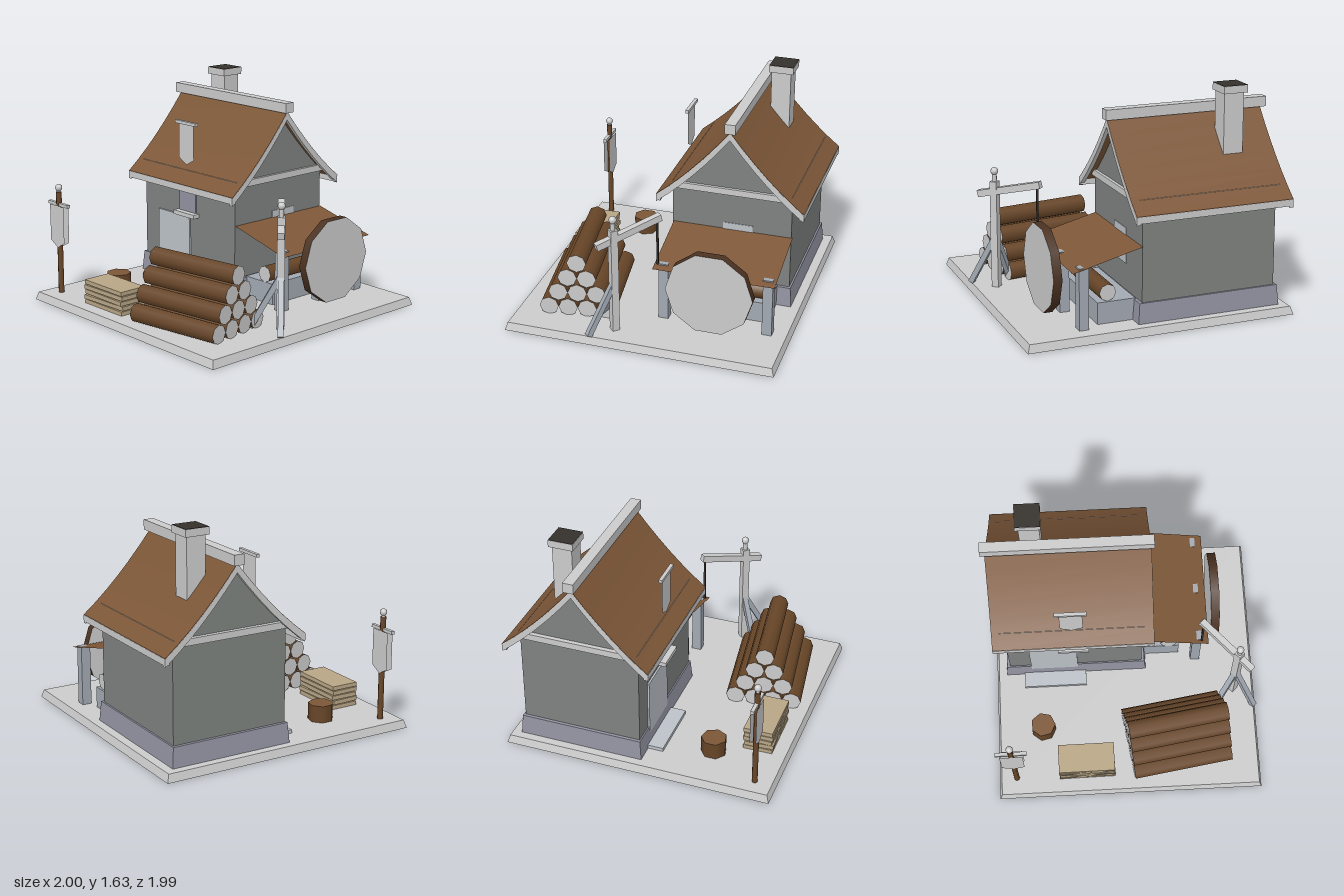
import * as THREE from 'three';
import { toCreasedNormals } from 'three/addons/utils/BufferGeometryUtils.js';

const mat = (color, side = THREE.FrontSide) => new THREE.MeshStandardMaterial({ color, side });
const GREY = mat(0xcccccc), CLOTH = mat(0xcccccc, THREE.DoubleSide);
const ROOF = mat(0x7d5738), LEAN = mat(0x7d5738, THREE.DoubleSide);
const WOOD = mat(0x684628), RIM = mat(0x4c3322), DARK = mat(0x35302c);
const WALL = mat(0x7e827f), STONE = mat(0x9393a2), SLATE = mat(0xa2a9b2);
const DOOR = mat(0xbcc2c8), PLANK = mat(0xb8a585);

export function createModel() {
  const root = new THREE.Group();
  const add = (name, geo, material, parent = root) => {
    const m = new THREE.Mesh(geo, material);
    m.name = name;
    parent.add(m);
    return m;
  };
  // Box given by its min and max on each axis; inset narrows the top
  const box = (name, [x0, x1], [y0, y1], [z0, z1], material, inset = 0, parent = root) => {
    const g = new THREE.BoxGeometry(x1 - x0, y1 - y0, z1 - z0);
    const p = g.attributes.position;
    for (let i = 0; inset && i < p.count; i++) {
      if (p.getY(i) < 0) continue;
      p.setX(i, p.getX(i) - Math.sign(p.getX(i)) * inset);
      p.setZ(i, p.getZ(i) - Math.sign(p.getZ(i)) * inset);
    }
    if (inset) g.computeVertexNormals();
    const m = add(name, g, material, parent);
    m.position.set((x0 + x1) / 2, (y0 + y1) / 2, (z0 + z1) / 2);
    return m;
  };
  // Square beam between two points
  const beam = (name, a, b, w, h, material) => {
    const A = new THREE.Vector3(...a), B = new THREE.Vector3(...b);
    const m = add(name, new THREE.BoxGeometry(w, h, A.distanceTo(B)), material);
    m.position.copy(A).lerp(B, 0.5);
    m.lookAt(B);
  };
  // Outline of [z, y] points extruded along x
  const extrudeX = (name, pts, x0, x1, material) => {
    const shape = new THREE.Shape(pts.map(([z, y]) => new THREE.Vector2(-z, y)));
    const g = new THREE.ExtrudeGeometry(shape, { depth: x1 - x0, bevelEnabled: false });
    g.rotateY(Math.PI / 2).translate(x0, 0, 0);
    add(name, toCreasedNormals(g, 0.5), material);
  };
  const cyl = (name, r, h, sides, side, cap, parent = root) =>
    add(name, new THREE.CylinderGeometry(r, r, h, sides), [side, cap, cap], parent);

  // Ground slab
  box('base', [-0.998, 0.99], [0, 0.058], [-0.993, 0.993], GREY, 0.018);

  // Roof profile: a sagging curve, steep at the ridge and flatter at the eaves
  const zc = -0.4425;
  const roofY = (u) => 1.414 - 1.27 * u + 0.45 * u * u;
  const across = (drop, reach = 0.545) => {
    const pts = [];
    for (let i = 6; i >= -6; i--) {
      const u = (i / 6) * reach;
      pts.push([zc + u, roofY(Math.abs(u)) - drop]);
    }
    return pts;
  };
  const slab = (top, bottom) => [...across(top), ...across(bottom).reverse()];

  // House body with gables, and the timber plate that crosses both gables
  box('foundation', [-0.92, 0.16], [0.05, 0.205], [-0.91, 0.022], STONE, 0.012);
  extrudeX('walls', [[0, 0.05], ...across(0.03, 0.4425), [-0.885, 0.05]], -0.885, 0.125, WALL);
  box('wallPlate', [-0.917, 0.147], [0.893, 0.941], [zc - 0.444, zc + 0.444], GREY);

  // Roof, trims and ridge
  extrudeX('roof', slab(0, 0.035), -0.97, 0.21, ROOF);
  extrudeX('bargeBoardLeft', slab(0.004, 0.062), 0.18, 0.211, GREY);
  extrudeX('bargeBoardRight', slab(0.004, 0.062), -0.971, -0.94, GREY);
  for (const s of [1, -1]) {
    const z = zc + s * 0.53;
    box('eaveFascia', [-0.97, 0.21], [0.805, 0.853], [z - 0.017, z + 0.017], GREY);
  }
  box('ridgeCap', [-1, 0.23], [1.408, 1.482], [-0.485, -0.408], GREY);

  // Chimney
  box('chimney', [-0.722, -0.573], [1.05, 1.575], [-0.68, -0.535], GREY);
  box('chimneyCap', [-0.743, -0.56], [1.572, 1.624], [-0.7, -0.517], GREY);
  box('chimneyTop', [-0.741, -0.562], [1.61, 1.627], [-0.698, -0.519], DARK);

  // Door, windows and step
  box('door', [-0.722, -0.365], [0.06, 0.585], [-0.02, 0.014], DOOR);
  box('doorStep', [-0.78, -0.305], [0.05, 0.085], [0, 0.135], DOOR);
  box('frontWindow', [-0.48, -0.295], [0.61, 0.86], [-0.02, 0.01], STONE);
  box('windowSill', [-0.5, -0.27], [0.593, 0.624], [-0.01, 0.055], GREY);
  box('sideWindow', [0.1, 0.129], [0.4, 0.66], [-0.6, -0.38], DOOR);

  // Pointed cloth banner hanging from a bar
  const banner = (name, x, top, tip, z, layers) => {
    const g = new THREE.Group();
    g.name = name;
    root.add(g);
    const s = new THREE.Shape([[-0.083, 0], [-0.083, tip + 0.045], [0, tip], [0.083, tip + 0.045], [0.083, 0]]
      .map(([a, b]) => new THREE.Vector2(a, b)));
    for (const d of layers) add('cloth', new THREE.ShapeGeometry(s), CLOTH, g).position.z = d;
    box('bar', [-0.115, 0.115], [-0.003, 0.02], [-0.013, 0.013], GREY, 0, g);
    g.position.set(x, top, z);
  };
  banner('roofBanner', -0.386, 1.296, -0.31, 0.02, [0]);
  banner('poleBanner', -0.865, 0.728, -0.32, 0.85, [0.022, -0.022]);

  // Banner pole
  cyl('bannerPole', 0.021, 0.78, 8, WOOD, WOOD).position.set(-0.865, 0.44, 0.85);
  cyl('poleCollar', 0.015, 0.03, 8, GREY, GREY).position.set(-0.865, 0.84, 0.85);
  add('poleBall', new THREE.SphereGeometry(0.027, 10, 8), GREY).position.set(-0.865, 0.862, 0.85);

  // Lean-to roof: a thin sloping sheet on three posts
  const sheet = new THREE.PlaneGeometry(Math.hypot(0.51, 0.129), 0.89).rotateX(-Math.PI / 2);
  const lean = add('leanToRoof', sheet, LEAN);
  lean.rotation.z = -Math.atan2(0.129, 0.51);
  lean.position.set(0.377, 0.545, -0.45);
  for (const z of [-0.835, -0.4525, -0.07])
    box('leanToPost', [0.51, 0.58], [0.05, 0.503], [z - 0.036, z + 0.036], SLATE);

  // Work bench with a log on it
  box('workBench', [0.14, 0.42], [0.05, 0.215], [-0.8, -0.1], SLATE);
  const benchLog = cyl('benchLog', 0.062, 0.69, 8, WOOD, GREY);
  benchLog.rotation.x = Math.PI / 2;
  benchLog.position.set(0.34, 0.275, zc);

  // Large ten-sided disc, flat side down
  const disc = cyl('disc', 0.318, 0.064, 10, RIM, GREY);
  disc.rotation.z = Math.PI / 2;
  disc.position.set(0.692, 0.397, -0.447);

  // Hoist: post set cornerwise, arm, braces, rope
  const post = add('hoistPost', new THREE.BoxGeometry(0.054, 0.81, 0.054), GREY);
  post.position.set(0.822, 0.455, 0.213);
  post.rotation.y = Math.PI / 4;
  cyl('hoistNeck', 0.018, 0.06, 8, GREY, GREY).position.set(0.822, 0.89, 0.213);
  add('hoistBall', new THREE.SphereGeometry(0.028, 10, 8), GREY).position.set(0.822, 0.936, 0.213);
  beam('hoistArm', [0.56, 0.872, -0.045], [0.914, 0.755, 0.306], 0.047, 0.05, GREY);
  for (const s of [1, -1])
    beam('hoistBrace', [0.822, 0.44, 0.213], [0.822 + s * 0.15, 0.065, 0.358], 0.04, 0.04, SLATE);
  box('hoistRope', [0.573, 0.587], [0.5, 0.86], [-0.037, -0.023], DARK);

  // Log pile: rows of four, three, two and one
  const pile = new THREE.Group();
  pile.name = 'logPile';
  pile.position.set(0.364, 0, 0.585);
  pile.rotation.y = 0.151;
  root.add(pile);
  for (let row = 0; row < 4; row++)
    for (let i = 0; i < 4 - row; i++) {
      const log = cyl('log', 0.07, 0.75, 8, WOOD, GREY, pile);
      log.rotation.z = Math.PI / 2;
      log.position.set(0, 0.121 + row * 0.122, (i - (3 - row) / 2) * 0.14);
    }

  // Chopping stump
  const stump = cyl('stump', 0.093, 0.135, 7, WOOD, ROOF);
  stump.position.set(-0.648, 0.115, 0.475);
  stump.rotation.y = Math.PI / 2;

  // Stacked planks, each turned slightly
  [0.01, 0.05, -0.01, 0.03, 0.005].forEach((turn, i) => {
    const p = add('plank', new THREE.BoxGeometry(0.42, 0.031, 0.215), PLANK);
    p.position.set(-0.33, 0.072 + i * 0.037, 0.765);
    p.rotation.y = turn;
  });
  return root;
}
